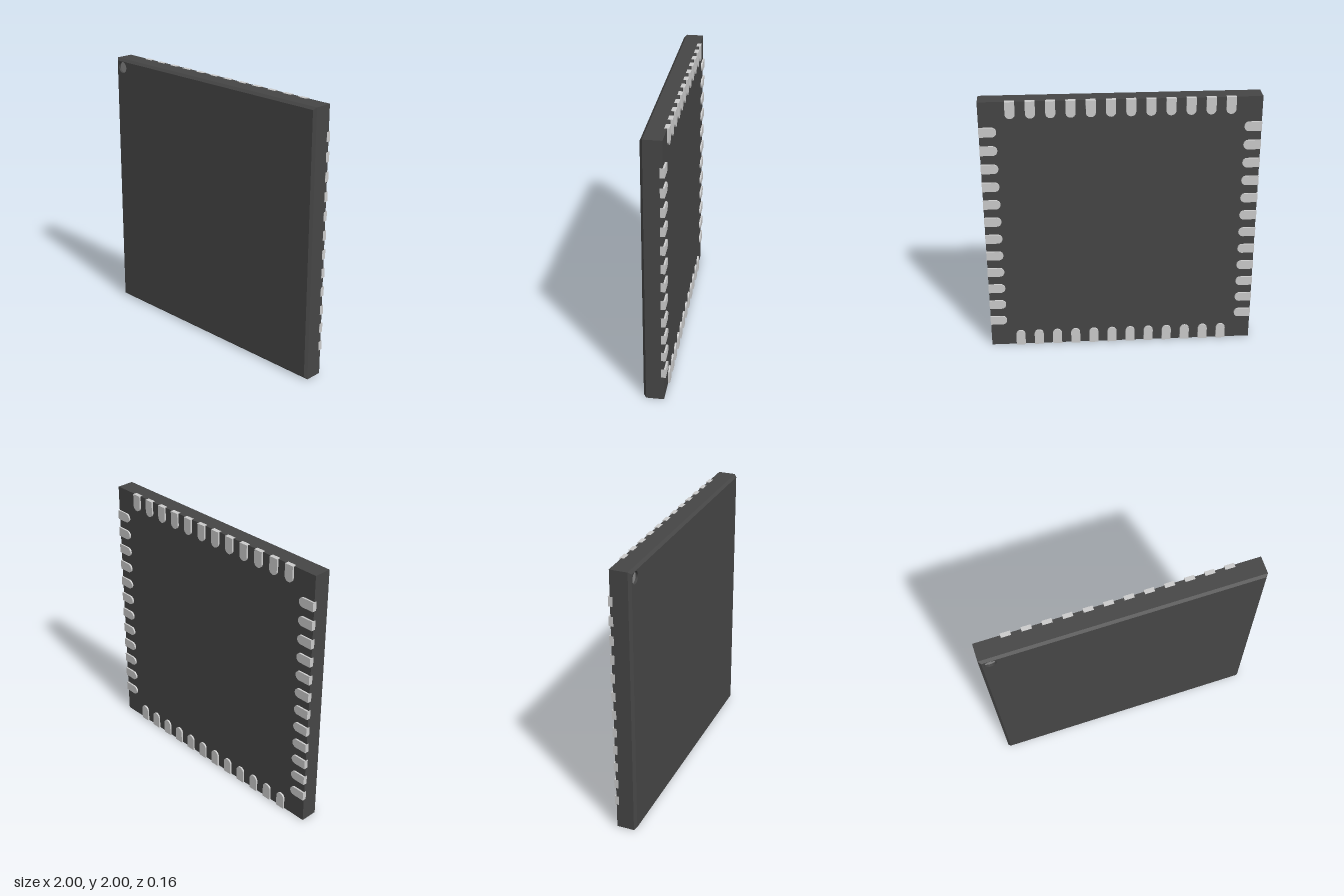
import * as THREE from 'three';

const bodyMat = new THREE.MeshStandardMaterial({ color: 0x464646 });
const dotMat = new THREE.MeshStandardMaterial({ color: 0x878787 });
const padMat = new THREE.MeshStandardMaterial({ color: 0xcccccc });

const HALF = 0.999, BACK = -0.067, FRONT = 0.08, BEVEL = 0.018;
const DOT = { x: -0.925, y: 0.935, r: 0.043 };

function add(parent, name, geometry, material) {
  const mesh = new THREE.Mesh(geometry, material);
  mesh.name = name;
  parent.add(mesh);
  return mesh;
}

// Front layer: a square tapered towards the front, pierced by the marker recess
function coverGeometry() {
  const shape = new THREE.Shape();
  shape.moveTo(-HALF, -HALF).lineTo(HALF, -HALF).lineTo(HALF, HALF).lineTo(-HALF, HALF).closePath();
  const hole = new THREE.Path();
  hole.absarc(DOT.x, DOT.y, DOT.r, 0, Math.PI * 2, true);
  shape.holes.push(hole);
  const geo = new THREE.ExtrudeGeometry(shape, { depth: BEVEL, bevelEnabled: false, curveSegments: 32 });
  const p = geo.attributes.position;
  const inset = (v) => (Math.abs(v) > HALF - 0.001 ? Math.sign(v) * (HALF - BEVEL) : v);
  for (let i = 0; i < p.count; i++) {
    if (p.getZ(i) > BEVEL / 2) p.setXY(i, inset(p.getX(i)), inset(p.getY(i)));
  }
  geo.computeVertexNormals();
  return geo;
}

// Contact pad along the bottom edge: square outer end, round inner end
function padGeometry() {
  const w = 0.035, length = 0.125;
  const shape = new THREE.Shape();
  shape.moveTo(-w, -1).lineTo(w, -1).lineTo(w, -1 + length - w);
  shape.absarc(0, -1 + length - w, w, 0, Math.PI, false);
  shape.closePath();
  return new THREE.ExtrudeGeometry(shape, { depth: 0.032, bevelEnabled: false, curveSegments: 16 });
}

export function createModel() {
  const model = new THREE.Group();
  model.name = 'chipPackage';

  // Body
  const depth = FRONT - BEVEL - BACK;
  add(model, 'body', new THREE.BoxGeometry(HALF * 2, HALF * 2, depth), bodyMat)
    .position.set(0, 1, BACK + depth / 2);
  add(model, 'bevelledCover', coverGeometry(), bodyMat).position.set(0, 1, FRONT - BEVEL);

  // Orientation marker at the bottom of its recess
  add(model, 'markerDot', new THREE.CircleGeometry(DOT.r, 48), dotMat)
    .position.set(DOT.x, 1 + DOT.y, FRONT - BEVEL + 0.001);

  // Twelve pads on each of the four edges
  const pad = padGeometry();
  for (let side = 0; side < 4; side++) {
    const row = new THREE.Group();
    row.name = 'padRow' + (side + 1);
    row.position.set(0, 1, -0.08);
    row.rotation.z = side * Math.PI / 2;
    for (let i = 0; i < 12; i++) {
      add(row, 'pad', pad, padMat).position.x = (i - 5.5) * 0.141;
    }
    model.add(row);
  }
  return model;
}
